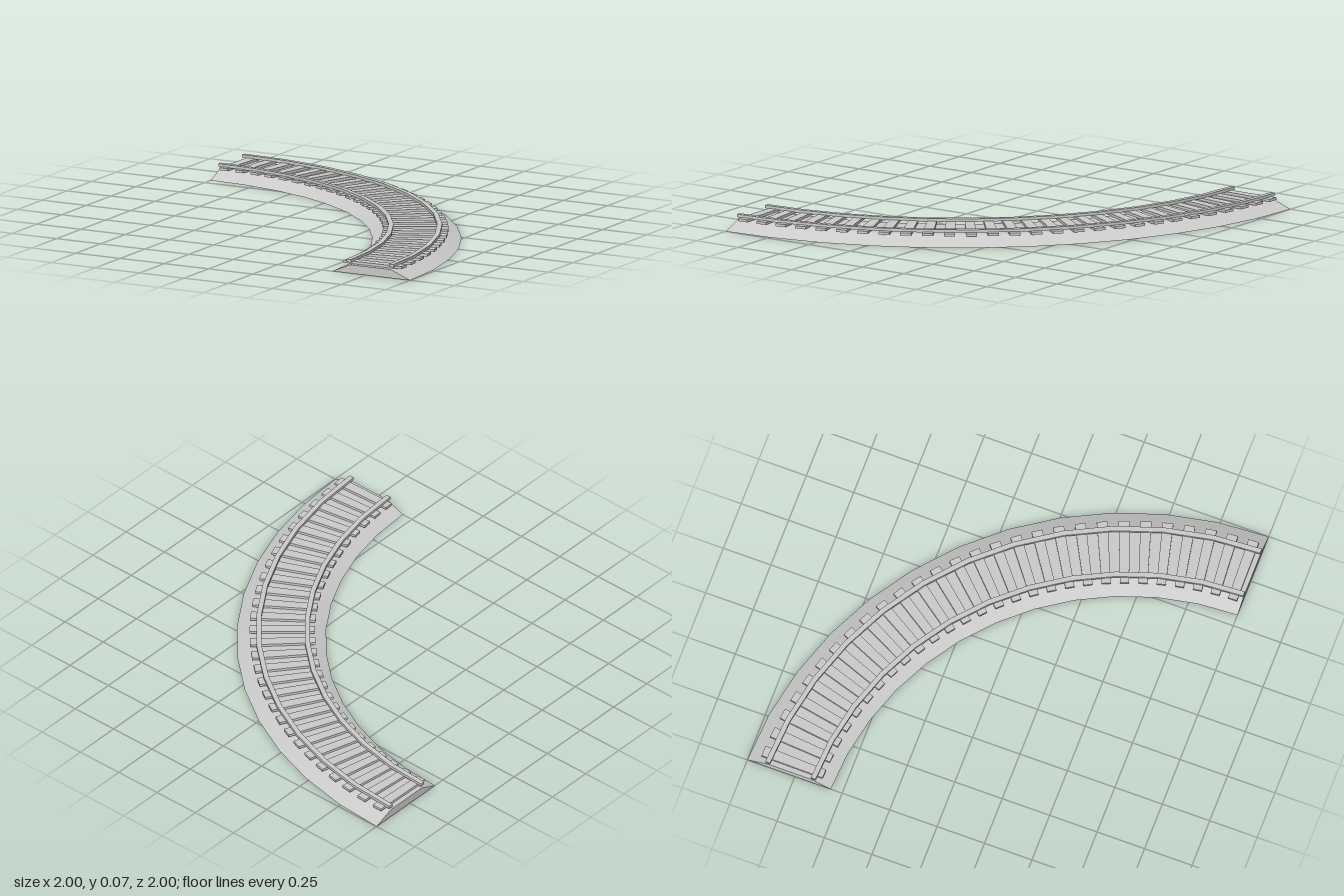
import * as THREE from 'three';
import { toCreasedNormals } from 'three/addons/utils/BufferGeometryUtils.js';

const QUARTER = Math.PI / 2;

// Sweeps a four-cornered (radius, height) section around the corner (-1, 1), with end caps.
function sweep(section, from, to, steps, openBottom = false) {
  const pos = [], index = [];
  for (let i = 0; i <= steps; i++) {
    const a = from + (to - from) * i / steps;
    for (const [r, y] of section) pos.push(-1 + r * Math.sin(a), y, 1 - r * Math.cos(a));
  }
  for (let i = 0; i < steps; i++) {
    for (let k = openBottom ? 1 : 0; k < 4; k++) {
      const p = i * 4 + k, q = i * 4 + (k + 1) % 4;
      index.push(p, q, q + 4, p, q + 4, p + 4);
    }
  }
  const e = steps * 4;
  index.push(0, 2, 1, 0, 3, 2, e, e + 1, e + 2, e, e + 2, e + 3);
  const geo = new THREE.BufferGeometry();
  geo.setAttribute('position', new THREE.Float32BufferAttribute(pos, 3));
  geo.setIndex(index);
  return toCreasedNormals(geo, 0.3);
}

const bar = (r0, r1, y0, y1) => [[r0, y0], [r1, y0], [r1, y1], [r0, y1]];

export function createModel() {
  const group = new THREE.Group();
  group.name = 'curvedRailwayTrack';
  const grey = new THREE.MeshStandardMaterial({ color: 0xcccccc });
  const greyBothSides = new THREE.MeshStandardMaterial({ color: 0xcccccc, side: THREE.DoubleSide });

  function add(name, geometry, material = grey, parent = group) {
    const mesh = new THREE.Mesh(geometry, material);
    mesh.name = name;
    parent.add(mesh);
  }

  // Ballast bed: sloped shoulders, hollow underneath
  const bed = [[1.56, 0], [2, 0], [1.89, 0.043], [1.66, 0.043]];
  add('ballastBed', sweep(bed, 0, QUARTER, 12, true), greyBothSides);

  // Sleepers: slightly wedge-shaped, evenly spread along the curve
  const sleepers = new THREE.Group();
  sleepers.name = 'sleepers';
  group.add(sleepers);
  const count = 28, pitch = QUARTER / count;
  for (let i = 0; i < count; i++) {
    const mid = (i + 0.5) * pitch;
    add('sleeper', sweep(bar(1.612, 1.935, 0.044, 0.057), mid - pitch / 4, mid + pitch / 4, 1), grey, sleepers);
  }

  // Rails
  add('innerRail', sweep(bar(1.64, 1.665, 0.055, 0.07), 0, QUARTER, 12));
  add('outerRail', sweep(bar(1.88, 1.905, 0.055, 0.07), 0, QUARTER, 12));

  return group;
}
